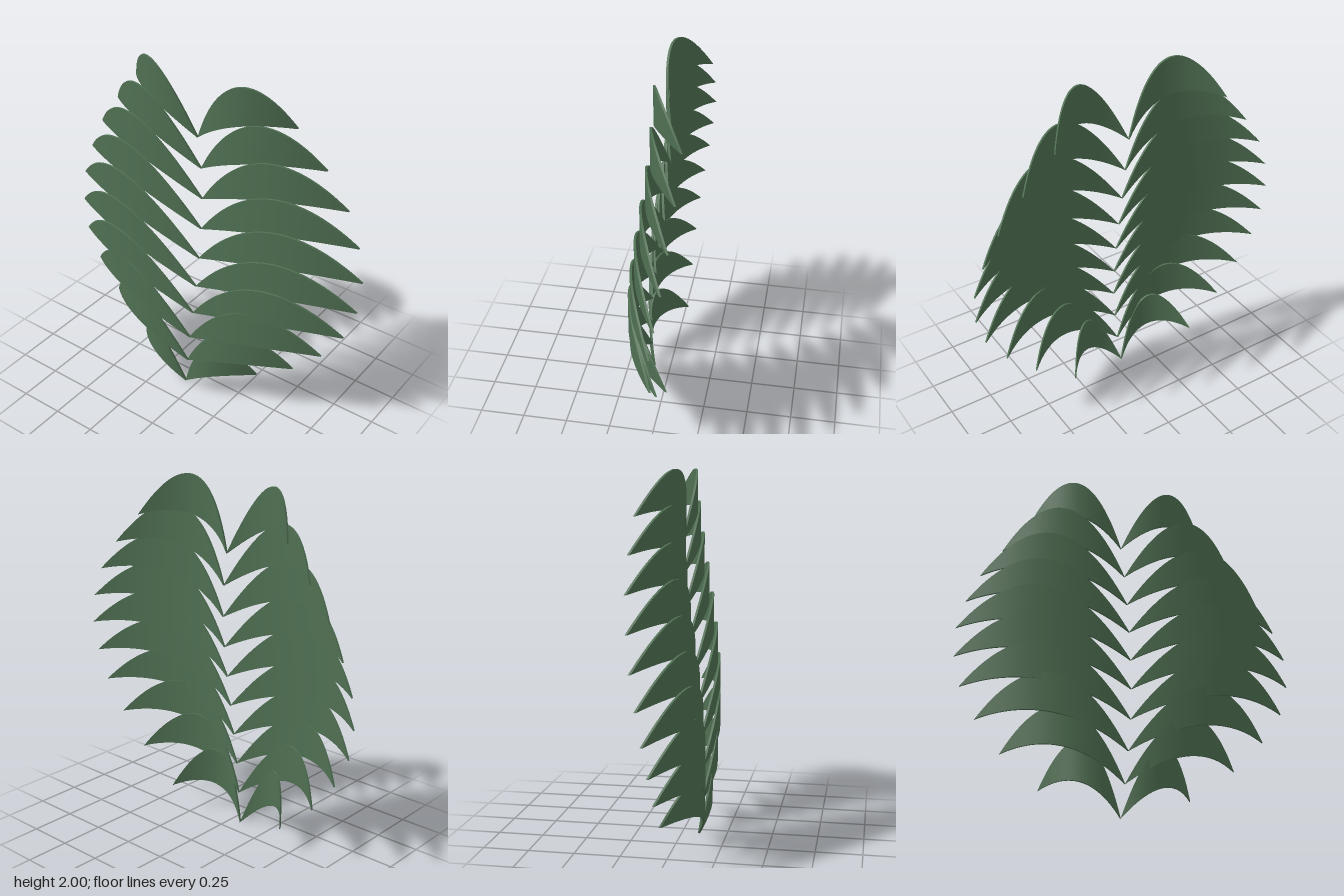
import * as THREE from 'three';

const STEPS = 40;        // samples along each blade
const HALF = 0.006;      // half the blade thickness
const ROW_STEP = 0.1794; // height between rows

// One entry per row from bottom to top: [centre x, centre z, blade length]
const ROWS = [
  [-0.065, 0.095, 0.405], [-0.045, 0.105, 0.63], [-0.028, 0.105, 0.785],
  [-0.013, 0.095, 0.89], [-0.005, 0.075, 0.935], [-0.002, 0.05, 0.937],
  [-0.004, 0.025, 0.89], [-0.012, 0.005, 0.81], [-0.025, -0.005, 0.68],
  [-0.046, -0.005, 0.517],
];

// Quadratic curve starting at 0
const bend = (mid, end, t) => 2 * mid * t * (1 - t) + end * t * t;

// Smooth ribbon between two matching rows of points
function strip(a, b, flip) {
  const pos = [], index = [];
  a.forEach((p, i) => {
    pos.push(...p, ...b[i]);
    if (i === 0) return;
    const k = 2 * (i - 1);
    const tris = [[k, k + 1, k + 2], [k + 1, k + 3, k + 2]];
    tris.forEach(([u, v, w]) => index.push(...(flip ? [u, w, v] : [u, v, w])));
  });
  const g = new THREE.BufferGeometry();
  g.setAttribute('position', new THREE.Float32BufferAttribute(pos, 3));
  g.setIndex(index);
  g.computeVertexNormals();
  return g;
}

// Arched leaf blade growing sideways from the origin; side is +1 or -1
function makeBlade(side, length, material) {
  const edge = (mid, dz) => Array.from({ length: STEPS + 1 }, (_, i) => {
    const t = i / STEPS;
    return [side * length * bend(0.53, 1, t), bend(mid, 0.157, t), bend(0.14, -0.14, t) + dz];
  });
  const topFront = edge(0.681, HALF), topBack = edge(0.681, -HALF);
  const lowFront = edge(0.25, HALF), lowBack = edge(0.25, -HALF);
  const flip = side < 0;
  const blade = new THREE.Group();
  const add = (name, a, b) => {
    const mesh = new THREE.Mesh(strip(a, b, flip), material);
    mesh.name = name;
    blade.add(mesh);
  };
  add('bladeFront', topFront, lowFront);
  add('bladeBack', lowBack, topBack);
  add('bladeTopRim', topBack, topFront);
  add('bladeLowerRim', lowFront, lowBack);
  return blade;
}

export function createModel() {
  const model = new THREE.Group();
  model.name = 'leafFrond';
  const green = new THREE.MeshStandardMaterial({ color: 0x4f6f52, side: THREE.DoubleSide });
  green.name = 'leafGreen';

  // Ten stacked pairs of blades
  ROWS.forEach(([x, z, length], i) => {
    const pair = new THREE.Group();
    pair.name = `leafPair${i + 1}`;
    pair.position.set(x, i * ROW_STEP, z);
    for (const side of [1, -1]) {
      const blade = makeBlade(side, length, green);
      blade.name = side > 0 ? 'leftBlade' : 'rightBlade';
      pair.add(blade);
    }
    model.add(pair);
  });
  return model;
}
